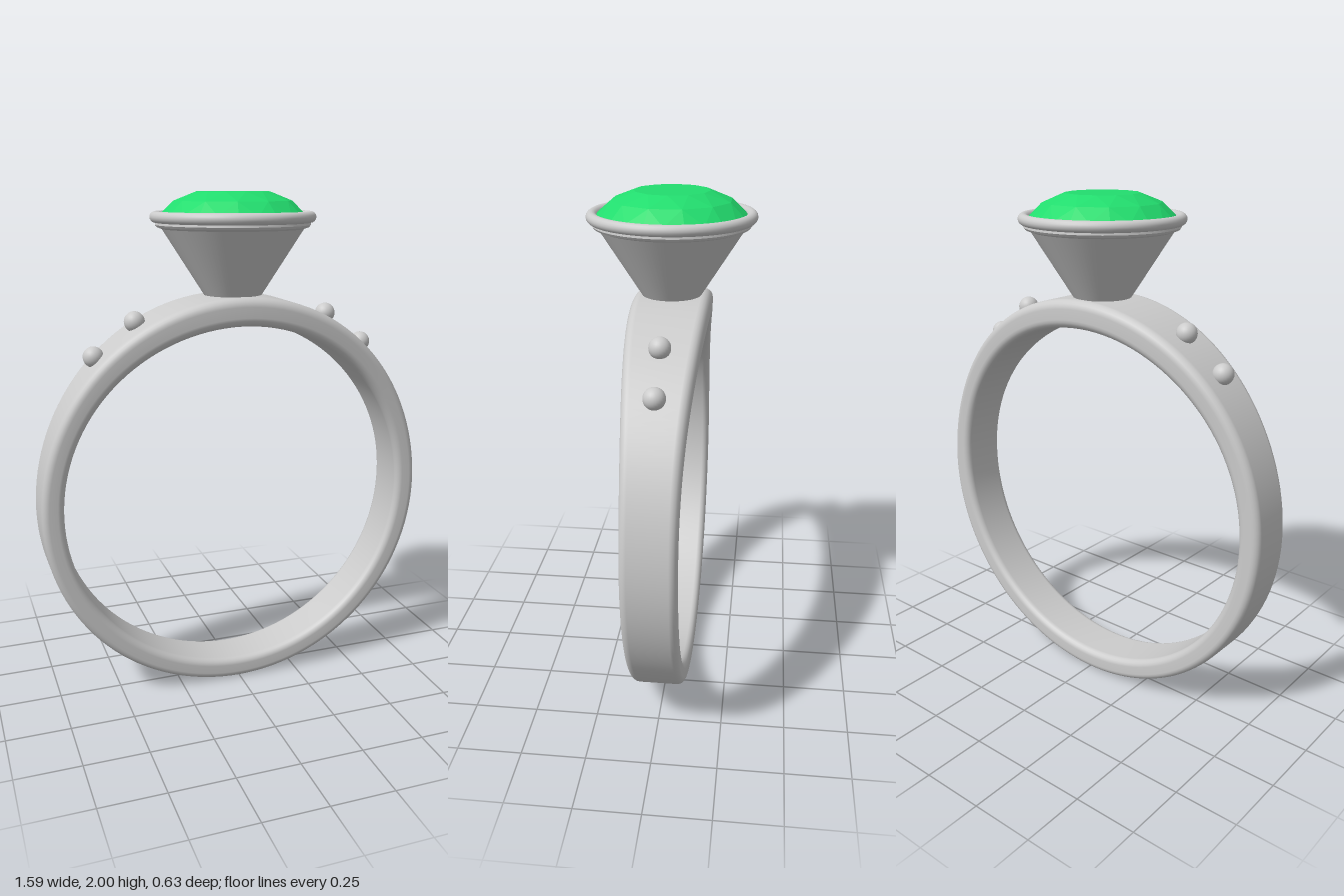
import * as THREE from 'three';
import { toCreasedNormals } from 'three/addons/utils/BufferGeometryUtils.js';
import { ConvexGeometry } from 'three/addons/geometries/ConvexGeometry.js';

const CENTRE_Y = 0.795;
const INNER_R = 0.708;

// Rounded-rectangle section as [z, r] pairs, counter-clockwise
function bandSection(halfWidth, r0, r1, corner) {
  const pts = [];
  const steps = 5;
  const corners = [[1, r1 - corner], [-1, r1 - corner], [-1, r0 + corner], [1, r0 + corner]];
  corners.forEach(([side, r], i) => {
    for (let k = 0; k <= steps; k++) {
      const t = (i + k / steps) * Math.PI / 2;
      pts.push([side * (halfWidth - corner) + corner * Math.cos(t), r + corner * Math.sin(t)]);
    }
  });
  return pts;
}

// Band: sections swept round the finger hole, wider and thicker towards the top
function bandGeometry() {
  const segments = 128;
  const positions = [], index = [];
  let n = 0;
  for (let i = 0; i < segments; i++) {
    const a = i / segments * Math.PI * 2;
    const c = Math.max(0, Math.cos(a));
    const section = bandSection(0.1 + 0.048 * c ** 3, INNER_R, 0.795 + 0.025 * c * c, 0.027 + 0.008 * c);
    n = section.length;
    for (const [z, r] of section) positions.push(Math.sin(a) * r, CENTRE_Y + Math.cos(a) * r, z);
  }
  for (let i = 0; i < segments; i++) {
    for (let j = 0; j < n; j++) {
      const i2 = (i + 1) % segments, j2 = (j + 1) % n;
      const a = i * n + j, b = i2 * n + j, c = i2 * n + j2, d = i * n + j2;
      index.push(a, b, c, a, c, d);
    }
  }
  const g = new THREE.BufferGeometry();
  g.setAttribute('position', new THREE.Float32BufferAttribute(positions, 3));
  g.setIndex(index);
  g.computeVertexNormals();
  return g;
}

// Cut stone: table, crown points, girdle and culet, wrapped in a faceted hull
function gemGeometry() {
  const pts = [];
  const ring = (count, r, y, offset) => {
    for (let i = 0; i < count; i++) {
      const a = (i + offset) / count * Math.PI * 2;
      pts.push(new THREE.Vector3(Math.sin(a) * r, y, Math.cos(a) * r));
    }
  };
  ring(12, 0.142, 2.0, 0);
  ring(12, 0.226, 1.966, 0.5);
  ring(24, 0.279, 1.915, 0);
  pts.push(new THREE.Vector3(0, 1.68, 0));
  return new ConvexGeometry(pts);
}

export function createModel() {
  const model = new THREE.Group();
  const metal = new THREE.MeshStandardMaterial({ color: 0xcccccc });
  const thinMetal = new THREE.MeshStandardMaterial({ color: 0xcccccc, side: THREE.DoubleSide });
  const green = new THREE.MeshStandardMaterial({ color: 0x22dd6e, flatShading: true });

  const add = (name, geometry, material, x = 0, y = 0, z = 0) => {
    const mesh = new THREE.Mesh(geometry, material);
    mesh.name = name;
    mesh.position.set(x, y, z);
    model.add(mesh);
    return mesh;
  };

  add('band', bandGeometry(), metal);

  // Conical cup with a small lip under the rim
  const cup = [[0, 1.614], [0.113, 1.614], [0.272, 1.863], [0.291, 1.87],
    [0.297, 1.878], [0.295, 1.892], [0.277, 1.9], [0.262, 1.875]]
    .map(([r, y]) => new THREE.Vector2(r, y));
  add('settingCup', toCreasedNormals(new THREE.LatheGeometry(cup, 64), 0.55), thinMetal);

  add('settingRim', new THREE.TorusGeometry(0.296, 0.021, 16, 72), metal, 0, 1.907, 0)
    .rotation.x = Math.PI / 2;

  add('gem', gemGeometry(), green);

  // Beads on both shoulders
  const bead = new THREE.SphereGeometry(0.04, 24, 16);
  for (const side of [1, -1]) {
    const label = side > 0 ? 'left' : 'right';
    add(label + 'UpperBead', bead, metal, side * 0.395, 1.525, 0);
    add(label + 'LowerBead', bead, metal, side * 0.557, 1.4, 0);
  }
  return model;
}
